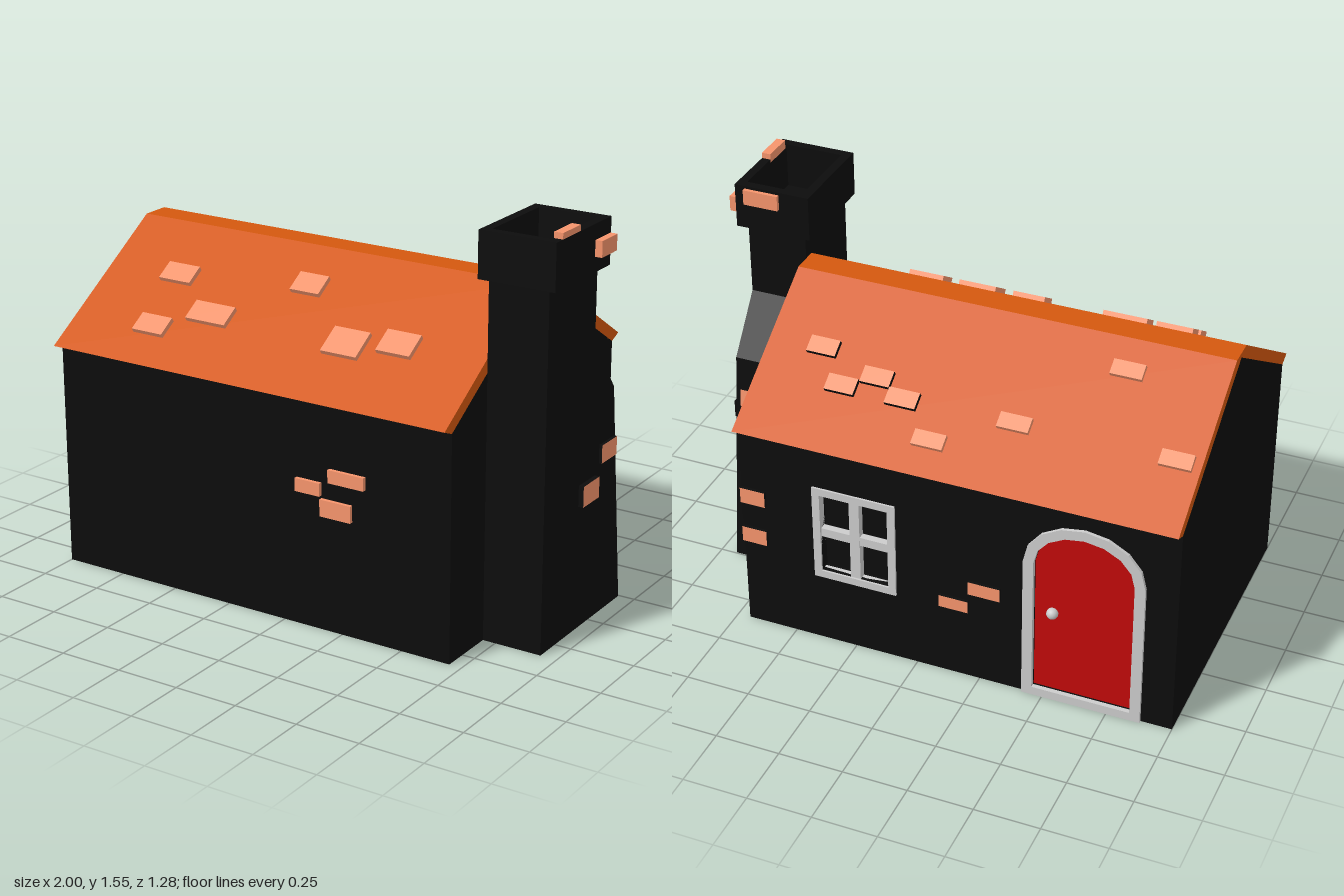
import * as THREE from 'three';

const mat = (color) => new THREE.MeshStandardMaterial({ color, flatShading: true });

export function createModel() {
  const house = new THREE.Group();
  const wallMat = mat(0x0c0c0c), roofMat = mat(0xd4580f), brickMat = mat(0xf5946c);
  const doorMat = mat(0xc00a0a), trimMat = mat(0xcccccc);

  const add = (name, geometry, material) => {
    const mesh = new THREE.Mesh(geometry, material);
    mesh.name = name;
    house.add(mesh);
    return mesh;
  };
  const toShape = (pts) => new THREE.Shape(pts.map(([x, y]) => new THREE.Vector2(x, y)));
  const rect = (x0, x1, y0, y1) => [[x0, y0], [x1, y0], [x1, y1], [x0, y1]];

  // Extrude an outline of [z, y] points along x
  const extrudeX = (name, pts, x0, x1, material) => {
    const g = new THREE.ExtrudeGeometry(toShape(pts.map(([z, y]) => [-z, y])), { depth: x1 - x0, bevelEnabled: false });
    g.rotateY(Math.PI / 2).translate(x0, 0, 0);
    return add(name, g, material);
  };
  // Extrude an outline of [x, y] points with holes along z
  const extrudeZ = (name, pts, holes, z0, z1, material) => {
    const s = toShape(pts);
    s.holes = holes.map(toShape);
    const g = new THREE.ExtrudeGeometry(s, { depth: z1 - z0, bevelEnabled: false });
    return add(name, g.translate(0, 0, z0), material);
  };

  // House body
  extrudeX('houseBody', [[0.59, 0], [0.59, 0.865], [0, 1.24], [-0.55, 0.89], [-0.55, 0]], -1, 0.7, wallMat);

  // Outline of the arched doorway, inset by t
  const arch = (t, bottom) => {
    const pts = [], cx = -0.65, rx = 0.23 - t, ry = 0.19 - t, spring = 0.6;
    pts.push([cx - rx, bottom], [cx + rx, bottom]);
    for (let i = 0; i <= 8; i++) {
      const a = (i / 8) * Math.PI;
      pts.push([cx + rx * Math.cos(a), spring + ry * Math.sin(a)]);
    }
    return pts;
  };
  const doorway = arch(0.04, 0.035);

  // Wall with the door and window openings
  const [wx0, wx1, wy0, wy1, t] = [0.08, 0.41, 0.29, 0.69, 0.03];
  const opening = rect(wx0 + t, wx1 - t, wy0 + t, wy1 - t);
  extrudeZ('doorWall', rect(-1, 0.7, 0, 0.88), [doorway, opening], -0.59, -0.55, wallMat);

  // Door, surround and knob
  extrudeZ('door', doorway, [], -0.578, -0.56, doorMat);
  extrudeZ('doorSurround', arch(0, 0), [doorway], -0.603, -0.585, trimMat);
  const knob = add('doorKnob', new THREE.SphereGeometry(0.022, 16, 12), new THREE.MeshStandardMaterial({ color: 0xcccccc }));
  knob.position.set(-0.53, 0.385, -0.587);

  // Window frame and glazing bars
  extrudeZ('windowFrame', rect(wx0, wx1, wy0, wy1), [opening], -0.598, -0.56, trimMat);
  const wcx = (wx0 + wx1) / 2, wcy = (wy0 + wy1) / 2;
  extrudeZ('windowUpright', rect(wcx - 0.02, wcx + 0.02, wy0 + t, wy1 - t), [], -0.59, -0.56, trimMat);
  extrudeZ('windowCrossbar', rect(wx0 + t, wx1 - t, wcy - 0.018, wcy + 0.018), [], -0.588, -0.56, trimMat);

  // Roof with a flat ridge
  const eaveZ = 0.64, eaveY = 0.885, ridgeZ = 0.055, ridgeY = 1.26;
  extrudeX('roof', [
    [eaveZ, eaveY], [ridgeZ, ridgeY], [-ridgeZ, ridgeY], [-eaveZ, eaveY],
    [-0.59, 0.865], [0, 1.24], [0.59, 0.865],
  ], -1, 0.7, roofMat);

  // Chimney stack with a sloping shoulder
  extrudeX('chimneyStack', [
    [0.355, 0], [0.355, 1.355], [0.01, 1.355], [0.01, 1.07], [-0.15, 0.86], [-0.245, 0],
  ], 0.7, 0.935, wallMat);

  // Hollow chimney cap, drawn in plan and turned upright
  const capShape = toShape(rect(0.67, 0.97, -0.38, 0.015));
  capShape.holes = [toShape(rect(0.705, 0.935, -0.345, -0.02))];
  const cap = new THREE.ExtrudeGeometry(capShape, { depth: 0.175, bevelEnabled: false });
  add('chimneyCap', cap.rotateX(-Math.PI / 2).translate(0, 1.355, 0), wallMat);

  // Bricks: sides go dark except on the face along showAxis (0 x, 1 y, 2 z)
  const brick = (name, center, size, showAxis = -1) => {
    const mats = [0, 1, 2].flatMap((a) => {
      const m = showAxis < 0 || a === showAxis ? brickMat : wallMat;
      return [m, m];
    });
    const mesh = add(name, new THREE.BoxGeometry(...size), showAxis < 0 ? brickMat : mats);
    mesh.position.set(...center);
    return mesh;
  };

  // Front wall bricks: x, y, width, height
  for (const [x, y, w, h] of [[0.112, 0.547, 0.105, 0.05], [0.275, 0.607, 0.15, 0.05], [0.23, 0.48, 0.13, 0.065]])
    brick('frontBrick', [x, y, 0.59], [w, h, 0.03]);

  // Door wall bricks
  for (const [x, y, w, h] of [[-0.15, 0.325, 0.115, 0.05], [-0.27, 0.415, 0.125, 0.055], [0.652, 0.58, 0.1, 0.065], [0.652, 0.405, 0.1, 0.065]])
    brick('doorWallBrick', [x, y, -0.59], [w, h, 0.026], 2);

  // Bricks on the gable and the chimney's outer face: x, y, z, height, depth
  for (const [x, y, z, h, d] of [[0.697, 0.488, -0.502, 0.075, 0.147], [0.94, 0.52, 0.04, 0.08, 0.12], [0.932, 0.632, -0.107, 0.07, 0.115]])
    brick('sideBrick', [x, y, z], [0.03, h, d], 0);

  // Bricks on the sloping chimney side
  for (const [y, z] of [[0.7, -0.168], [0.53, -0.187]])
    brick('shoulderBrick', [0.84, y, z], [0.14, 0.07, 0.025], 2).rotation.x = 0.11;

  // Chimney cap bricks
  brick('capBrick', [0.975, 1.442, 0.045], [0.045, 0.06, 0.11]);
  brick('capBrick', [0.86, 1.49, -0.015], [0.14, 0.06, 0.03]);
  brick('capBrick', [0.952, 1.535, 0.272], [0.035, 0.035, 0.125]);

  // Loose roof tiles: x, z, width, length seen from above, dark sides
  const pitch = Math.atan2(ridgeY - eaveY, eaveZ - ridgeZ);
  const tiles = [
    [-0.675, 0.275, 0.14, 0.07], [-0.645, 0.49, 0.135, 0.07], [-0.44, 0.405, 0.175, 0.075],
    [-0.125, 0.22, 0.125, 0.075], [0.155, 0.41, 0.15, 0.1], [0.355, 0.375, 0.14, 0.085],
    [-0.91, -0.41, 0.12, 0.05], [-0.31, -0.41, 0.12, 0.05], [0.12, -0.415, 0.12, 0.055, 1],
    [0.36, -0.415, 0.115, 0.055, 1], [0.24, -0.365, 0.115, 0.055, 1], [0.48, -0.305, 0.115, 0.055, 1],
    [-0.64, -0.165, 0.12, 0.05], [-0.03, -0.525, 0.12, 0.05],
  ];
  for (const [x, z, w, len, dark] of tiles) {
    const y = ridgeY - (Math.abs(z) - ridgeZ) * Math.tan(pitch);
    const tile = brick('roofTile', [x, y + 0.004, z], [w, 0.03, len / Math.cos(pitch)], dark ? 1 : -1);
    tile.rotation.x = Math.sign(z) * pitch;
  }

  return house;
}
